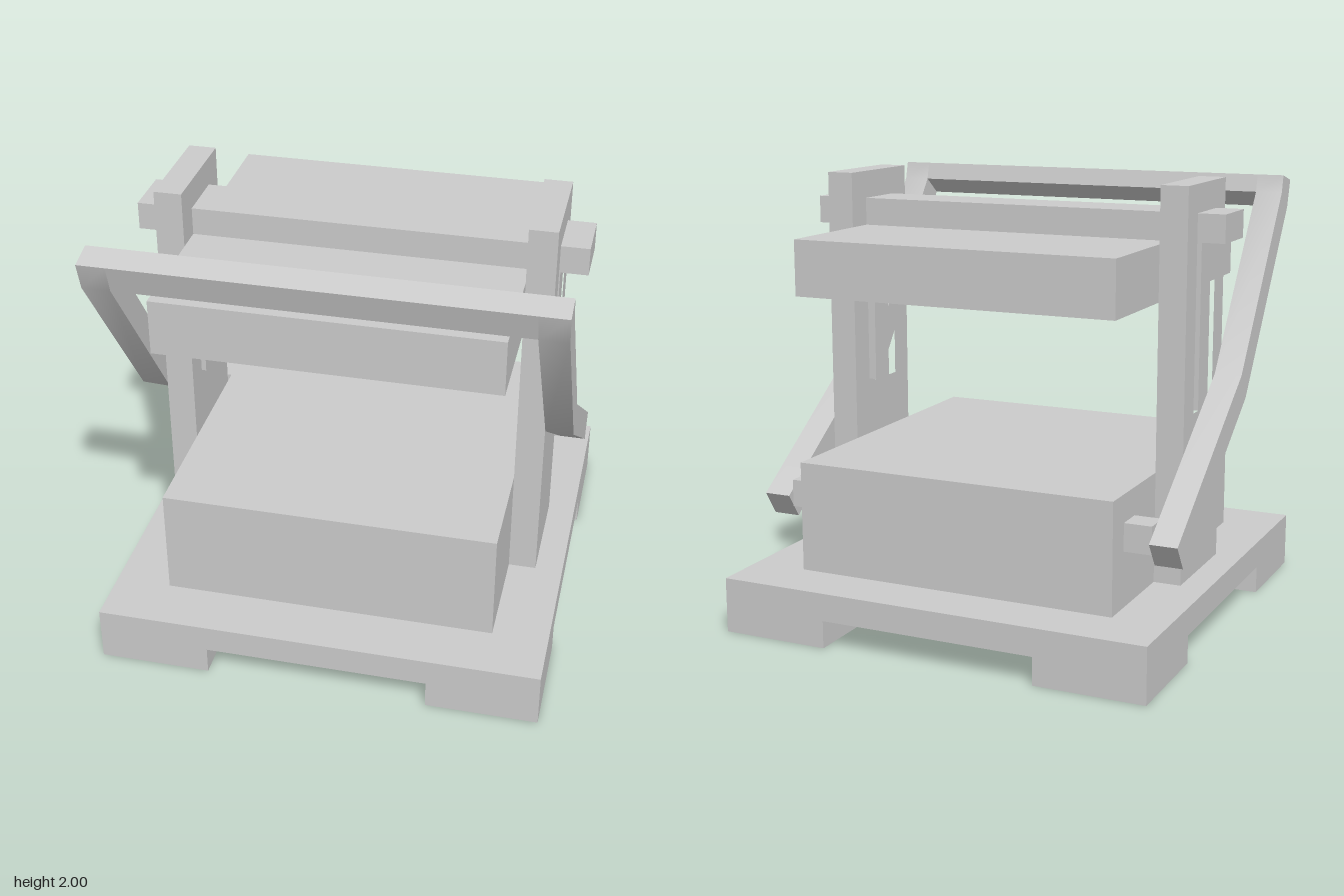
import * as THREE from 'three';
import { toCreasedNormals } from 'three/addons/utils/BufferGeometryUtils.js';

export function createModel() {
  const model = new THREE.Group();
  const material = new THREE.MeshStandardMaterial({ color: 0xcccccc });

  const add = (name, geometry) => {
    const mesh = new THREE.Mesh(geometry, material);
    mesh.name = name;
    model.add(mesh);
    return mesh;
  };

  // Box given by its lower and upper corners
  const box = (name, [x0, y0, z0], [x1, y1, z1]) =>
    add(name, new THREE.BoxGeometry(x1 - x0, y1 - y0, z1 - z0))
      .position.set((x0 + x1) / 2, (y0 + y1) / 2, (z0 + z1) / 2);

  const loop = (points) => points.map(([z, y]) => new THREE.Vector2(-z, y));

  // Side profile of [z, y] points, extruded from x0 to x1
  const sidePlate = (name, points, x0, x1, hole) => {
    const shape = new THREE.Shape(loop(points));
    if (hole) shape.holes.push(new THREE.Path(loop(hole)));
    const geometry = new THREE.ExtrudeGeometry(shape, { depth: x1 - x0, bevelEnabled: false });
    geometry.rotateY(Math.PI / 2).translate(x0, 0, 0);
    return add(name, toCreasedNormals(geometry, 0.6));
  };

  // Base slab and corner feet
  box('baseSlab', [-1, 0.125, -1], [1, 0.25, 1]);
  for (const x of [-0.75, 0.75])
    for (const z of [-0.75, 0.75])
      box('foot', [x - 0.25, 0, z - 0.25], [x + 0.25, 0.125, z + 0.25]);

  // Lower block, upper press plate and its crossbar
  box('lowerBlock', [-0.75, 0.25, -0.75], [0.75, 0.75, 0.75]);
  box('pressPlate', [-0.75, 1.5, -0.75], [0.75, 1.75, 0.75]);
  box('crossbar', [-1, 1.75, -0.125], [1, 1.875, 0.125]);

  // Bent handle: the first four points are the section of the grip
  const grip = [[0.72, 1.895], [0.74, 1.975], [0.858, 1.945], [0.82, 1.82]];
  const arm = [...grip, [0.235, 1.01], [-0.585, 0.445], [-0.66, 0.557], [0.163, 1.125]];
  const postOutline = [[-0.25, 0.25], [0.25, 0.25], [0.25, 2], [-0.25, 2]];
  const postSlot = [[-0.125, 1], [0.125, 1], [0.125, 1.875], [-0.125, 1.875]];

  for (const side of [-1, 1]) {
    const [in0, in1] = side > 0 ? [0.75, 0.875] : [-0.875, -0.75];
    const [out0, out1] = side > 0 ? [0.875, 1] : [-1, -0.875];
    const label = side > 0 ? 'left' : 'right';
    // Slotted post with a guide rod standing in the slot
    sidePlate(label + 'Post', postOutline, in0, in1, postSlot);
    box(label + 'GuideRod', [in0, 1, -0.0625], [in1, 1.75, 0.0625]);
    // Pivot peg and handle arm
    box(label + 'PivotPeg', [in0, 0.5, -0.625], [in1, 0.625, -0.5]);
    sidePlate(label + 'HandleArm', arm, out0, out1);
  }
  sidePlate('handleGrip', grip, -0.875, 0.875);

  return model;
}
